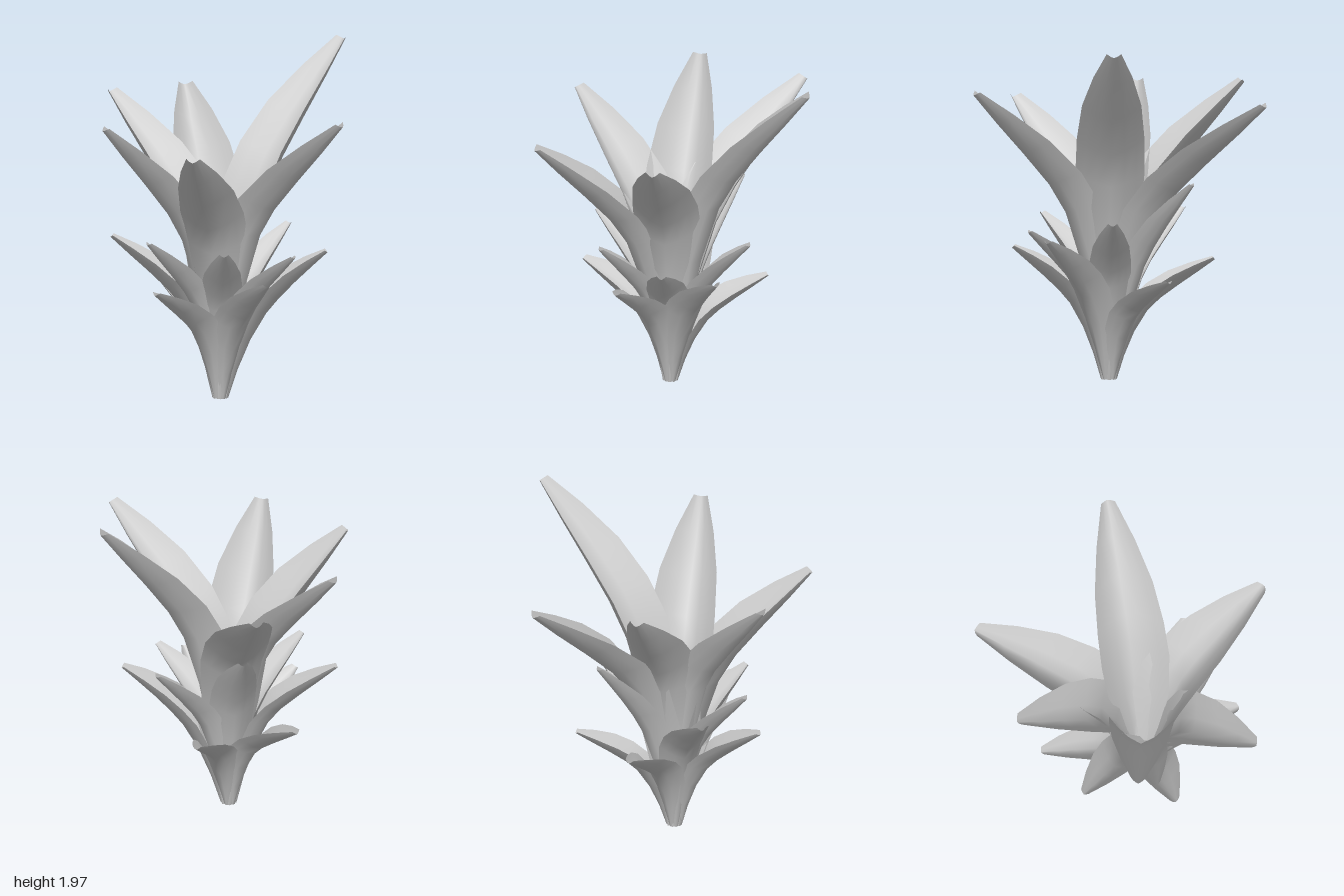
import * as THREE from 'three';

const BASE = { x: -0.027, y: 0.01, z: 0.035 };
// Stations along a leaf: [height, reach when strongly arched, reach when straighter, width], all as fractions
const STATIONS = [
  [0, 0, 0, 0.14], [0.2, 0.065, 0.12, 0.5], [0.4, 0.155, 0.27, 0.86], [0.58, 0.28, 0.45, 1],
  [0.68, 0.41, 0.57, 0.98], [0.79, 0.61, 0.7, 0.86], [0.9, 0.82, 0.85, 0.57], [1, 1, 1, 0.21],
];
// Points across the channelled section, -1 to 1
const ACROSS = [-1, -0.75, -0.4, 0, 0.4, 0.75, 1];

// Tip position, half width and straightness (0 arched, 1 straighter) of every leaf
const LEAVES = {
  upperLeaf: [
    [0.5, 1.965, -0.67, 0.195, 0.2], [-0.48, 1.61, -0.82, 0.19, 0], [-0.765, 1.67, -0.265, 0.19, 0],
    [0.76, 1.67, 0.275, 0.19, 0], [0.035, 1.535, 0.825, 0.187, 0], [-0.59, 1.61, 0.48, 0.185, 0],
  ],
  middleLeaf: [
    [-0.645, 0.92, 0.125, 0.125, 0.2], [-0.35, 0.95, 0.41, 0.12, 0.2], [0.12, 0.92, 0.47, 0.12, 0.2],
    [0.45, 0.87, 0.17, 0.12, 0.2], [0.27, 0.95, -0.37, 0.12, 0.3], [-0.27, 1.14, -0.43, 0.13, 0.5],
  ],
  lowerLeaf: [
    [-0.02, 0.615, -0.525, 0.11, 0.25], [0.555, 0.85, -0.13, 0.13, 0.6], [0.365, 0.75, 0.42, 0.13, 0.4],
    [-0.28, 0.68, 0.495, 0.13, 0.25], [-0.54, 0.68, -0.28, 0.12, 0.2],
  ],
};

// A tapering leaf with a channelled section, swept outward from the crown base
function leafGeometry([tx, ty, tz, halfWidth, straight]) {
  const dx = tx - BASE.x, dz = tz - BASE.z;
  const reach = Math.hypot(dx, dz);
  const out = new THREE.Vector3(dx / reach, 0, dz / reach);
  const side = new THREE.Vector3(out.z, 0, -out.x);
  const r0 = 0.045;
  const rib = STATIONS.map(([h, arched, tall]) => new THREE.Vector2(
    r0 + (reach - r0) * THREE.MathUtils.lerp(arched, tall, straight),
    BASE.y + (ty - BASE.y) * h));
  const positions = [], indices = [], n = ACROSS.length;

  rib.forEach((p, i) => {
    const t = rib[Math.min(i + 1, rib.length - 1)].clone().sub(rib[Math.max(i - 1, 0)]).normalize();
    const w = halfWidth * STATIONS[i][3];
    for (const u of ACROSS) {
      const lift = 0.8 * w * Math.abs(u) ** 1.5;
      const r = p.x - t.y * lift;
      const y = p.y + t.x * lift;
      positions.push(
        BASE.x + out.x * r + side.x * u * w, y,
        BASE.z + out.z * r + side.z * u * w);
    }
  });
  for (let i = 0; i < rib.length - 1; i++) {
    for (let j = 0; j < n - 1; j++) {
      const a = i * n + j, b = a + 1, c = a + n, d = c + 1;
      indices.push(a, b, d, a, d, c);
    }
  }
  const geometry = new THREE.BufferGeometry();
  geometry.setAttribute('position', new THREE.Float32BufferAttribute(positions, 3));
  geometry.setIndex(indices);
  geometry.computeVertexNormals();
  return geometry;
}

export function createModel() {
  const model = new THREE.Group();
  model.name = 'leafyPlant';
  const material = new THREE.MeshStandardMaterial({ color: 0xcccccc, side: THREE.DoubleSide });

  // Three whorls of leaves, all rooted in one crown
  for (const [name, leaves] of Object.entries(LEAVES)) {
    const whorl = new THREE.Group();
    whorl.name = name + 'Whorl';
    leaves.forEach((leaf, i) => {
      const mesh = new THREE.Mesh(leafGeometry(leaf), material);
      mesh.name = name + (i + 1);
      whorl.add(mesh);
    });
    model.add(whorl);
  }
  return model;
}
